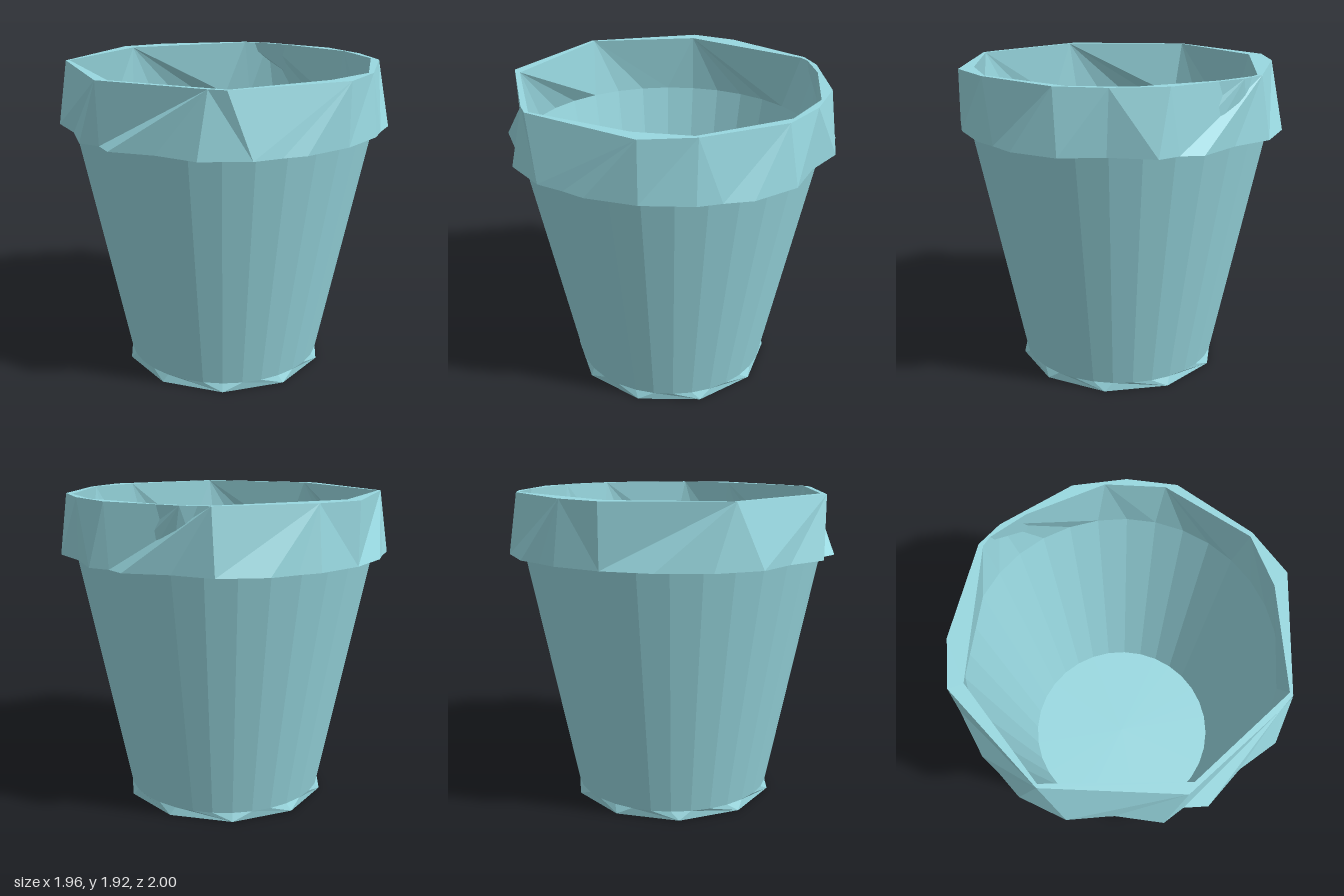
import * as THREE from 'three';

const TAU = Math.PI * 2;
const angle = ([x, , z]) => (Math.atan2(z, x) + TAU + 1e-6) % TAU;

// Ring from [x, z] corners, sorted around the axis
const ring = (y, corners) => corners.map(([x, z]) => [x, y, z]).sort((a, b) => angle(a) - angle(b));

// Regular ring
const circle = (y, r, n, start = 0) => ring(y, Array.from({ length: n }, (_, i) => {
  const t = start + (i / n) * TAU;
  return [r * Math.cos(t), r * Math.sin(t)];
}));

// Triangle strip between two rings with different corner counts
function stitch(a, b) {
  const pos = [];
  const at = (r, i) => r[i % r.length];
  const turn = (r, i) => angle(at(r, i)) + (i >= r.length ? TAU : 0);
  let i = 0, j = 0;
  while (i < a.length || j < b.length) {
    const stepA = j >= b.length || (i < a.length && turn(a, i + 1) <= turn(b, j + 1));
    pos.push(...at(a, i), ...at(b, j), ...(stepA ? at(a, i + 1) : at(b, j + 1)));
    if (stepA) i++; else j++;
  }
  const g = new THREE.BufferGeometry();
  g.setAttribute('position', new THREE.Float32BufferAttribute(pos, 3));
  g.computeVertexNormals();
  return g;
}

export function createModel() {
  const group = new THREE.Group();
  const material = new THREE.MeshStandardMaterial({
    color: 0x98d8e0, flatShading: true, side: THREE.DoubleSide,
  });
  const add = (name, geometry) => {
    const mesh = new THREE.Mesh(geometry, material);
    mesh.name = name;
    group.add(mesh);
  };

  // Foot: ten-sided base flaring out below the round wall
  const footStart = Math.PI / 4;
  const base = circle(0, 0.64, 10, footStart);
  const wallBottom = circle(0.05, 0.62, 32);
  const wallTop = circle(1.56, 0.92, 32);
  add('base', new THREE.CircleGeometry(0.64, 10, footStart).rotateX(Math.PI / 2));
  add('foot', stitch(base, wallBottom));
  add('outerWall', stitch(wallBottom, wallTop));

  // Rim: ragged lower edge, simpler polygon on top
  const half = [[0.94, 0.3], [0.88, 0.43], [0.82, 0.59], [0.62, 0.8], [0.37, 0.87], [0.13, 1]];
  const rimCorners = [[0.98, 0], [-0.98, 0], [0, 0.96], [0, -0.97]];
  for (const [x, z] of half)
    for (const sx of [1, -1])
      for (const sz of [1, -1]) rimCorners.push([x * sx, z * sz]);
  const rimBottom = ring(1.56, rimCorners);
  const rimTop = ring(1.925, [[0.98, 0], [0.71, 0.67], [0.62, 0.72], [0, 0.97], [-0.71, 0.67],
    [-0.98, 0], [-0.9, -0.28], [-0.57, -0.77], [0.05, -0.95], [0.36, -0.88], [0.62, -0.74], [0.9, -0.3]]);
  const lip = ring(1.925, [[0.88, 0.05], [0.7, 0.65], [0.05, 0.92], [-0.7, 0.65],
    [-0.89, 0], [-0.55, -0.75], [-0.42, -0.85], [0.23, -0.89], [0.55, -0.75], [0.88, -0.28]]);
  add('rimBand', stitch(rimBottom, rimTop));
  add('rimUnderside', stitch(wallTop, rimBottom));
  add('rimTop', stitch(rimTop, lip));

  // Inside: faceted collar, then a smooth cone down to the floor
  const innerTop = circle(1.56, 0.91, 32);
  const innerBottom = circle(0.1, 0.626, 32);
  add('innerCollar', stitch(lip, innerTop));
  add('innerWall', stitch(innerTop, innerBottom));
  add('floor', new THREE.CircleGeometry(0.626, 32).rotateX(-Math.PI / 2).translate(0, 0.1, 0));

  return group;
}
